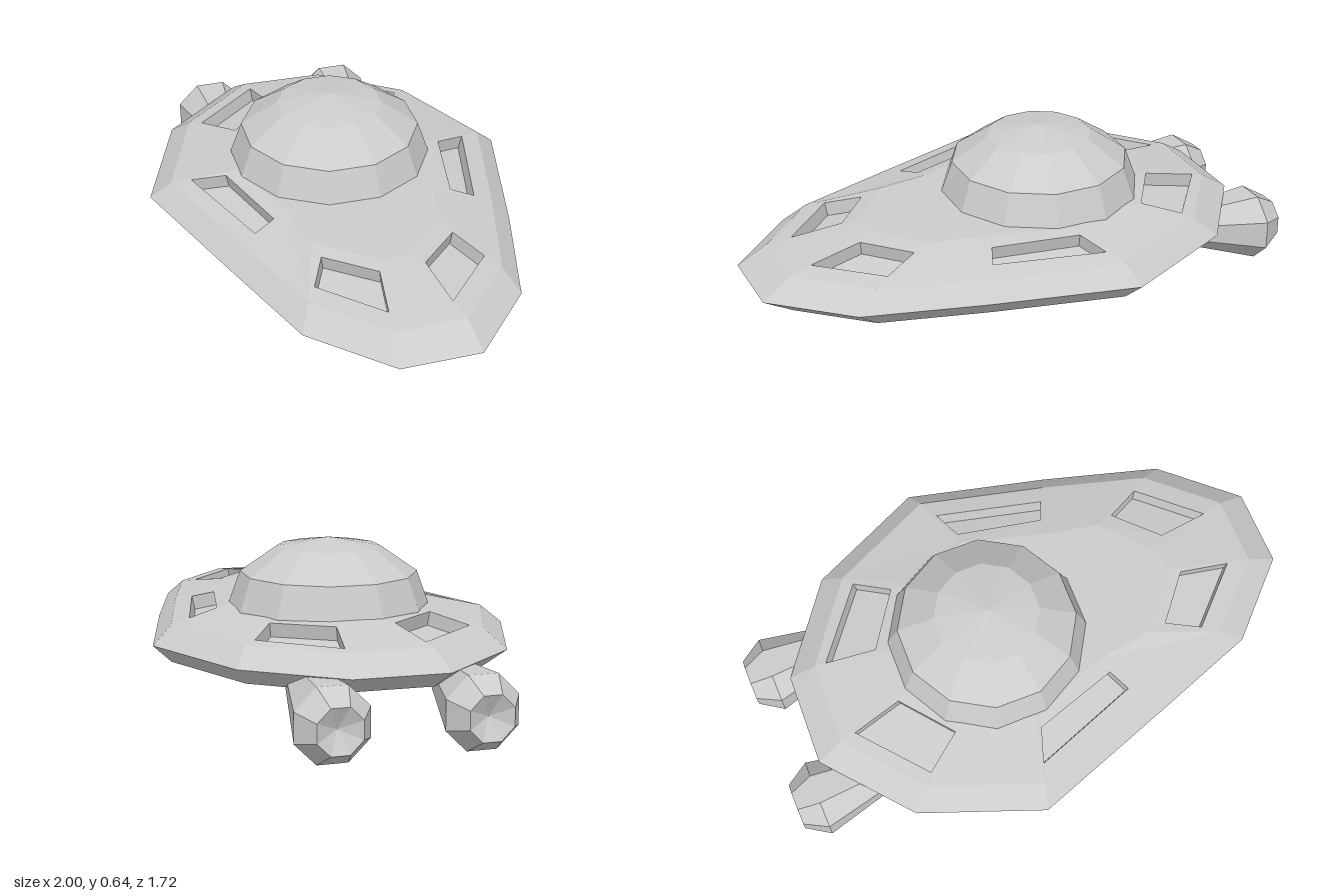
import * as THREE from 'three';

const material = () => new THREE.MeshStandardMaterial({ color: 0xcccccc, flatShading: true });

// Hull rim and flat-deck corners as [x, z], in matching order
const RIM = [
  [-0.535, -0.63], [-0.12, -0.73], [0.36, -0.6], [0.69, -0.15], [0.95, 0.235], [1, 0.595],
  [0.81, 0.825], [0.44, 0.86], [0.03, 0.71], [-0.53, 0.5], [-0.775, 0.065], [-0.775, -0.36],
];
const DECK = [
  [-0.29, -0.33], [0, -0.38], [0.24, -0.29], [0.44, 0], [0.56, 0.15], [0.57, 0.41],
  [0.52, 0.48], [0.25, 0.53], [0.06, 0.41], [-0.26, 0.31], [-0.39, 0.07], [-0.39, -0.17],
];
// Recess corners on every other sloped facet: outer, inner, inner, outer
const RECESSES = [
  [[-0.435, -0.52], [-0.305, -0.37], [-0.06, -0.44], [-0.10, -0.59]],
  [[0.31, -0.44], [0.27, -0.32], [0.48, -0.06], [0.56, -0.10]],
  [[0.78, 0.21], [0.63, 0.18], [0.645, 0.395], [0.82, 0.5]],
  [[0.67, 0.675], [0.54, 0.53], [0.32, 0.57], [0.38, 0.70]],
  [[0.02, 0.56], [0.04, 0.47], [-0.28, 0.34], [-0.395, 0.41]],
  [[-0.625, 0.05], [-0.45, 0.06], [-0.445, -0.19], [-0.625, -0.28]],
];

const ring = (pts, y) => pts.map(([x, z]) => new THREE.Vector3(x, y, z));
const shoulder = RIM.map(([x, z]) => [0.1 + (x - 0.1) * 0.89, 0.07 + (z - 0.07) * 0.89]);

function createHull() {
  const pos = [];
  const tri = (...v) => v.forEach((p) => pos.push(p.x, p.y, p.z));
  const quad = (a, b, c, d) => { tri(a, b, c); tri(a, c, d); };
  // Strip of quads joining two closed loops
  const bridge = (from, to) => from.forEach((p, i) => {
    const j = (i + 1) % from.length;
    quad(p, to[i], to[j], from[j]);
  });

  // Sloped facet with a sunken quad, pushed in along the facet normal
  function recessedFacet(corners, recess) {
    const [a, b, , d] = corners;
    const normal = b.clone().sub(a).cross(d.clone().sub(a)).normalize();
    const top = recess.map(([x, z]) => new THREE.Vector3(
      x, a.y - (normal.x * (x - a.x) + normal.z * (z - a.z)) / normal.y, z));
    const floor = top.map((p) => p.clone().addScaledVector(normal, -0.055));
    // Both loops run the same way, so the frame and walls face up and inward
    for (const [outer, inner] of [[corners, top], [top, floor]]) {
      outer.forEach((p, i) => {
        const j = (i + 1) % 4;
        quad(p, outer[j], inner[j], inner[i]);
      });
    }
    quad(...floor);
  }

  const lowDeck = ring(DECK, 0.155);
  const lowShoulder = ring(shoulder, 0.2);
  const rim = ring(RIM, 0.272);
  const highShoulder = ring(shoulder, 0.34);
  const highDeck = ring(DECK, 0.39);
  bridge(lowDeck, lowShoulder);
  bridge(lowShoulder, rim);
  bridge(rim, highShoulder);

  // Sloped top facets, alternately recessed and plain
  RIM.forEach((_, i) => {
    const j = (i + 1) % RIM.length;
    const corners = [highShoulder[i], highDeck[i], highDeck[j], highShoulder[j]];
    if (i % 2 === 0) recessedFacet(corners, RECESSES[i / 2]);
    else quad(...corners);
  });

  // Flat deck and flat underside
  const middle = (y) => new THREE.Vector3(0.08, y, 0.05);
  RIM.forEach((_, i) => {
    const j = (i + 1) % RIM.length;
    tri(highDeck[i], middle(0.39), highDeck[j]);
    tri(lowDeck[j], middle(0.155), lowDeck[i]);
  });

  const geometry = new THREE.BufferGeometry();
  geometry.setAttribute('position', new THREE.Float32BufferAttribute(pos, 3));
  geometry.computeVertexNormals();
  const hull = new THREE.Mesh(geometry, material());
  hull.name = 'hull';
  return hull;
}

function createDome() {
  const profile = [[0.39, 0.36], [0.385, 0.39], [0.342, 0.51], [0.2, 0.608], [0, 0.642]]
    .map(([r, y]) => new THREE.Vector2(r, y));
  const dome = new THREE.Mesh(new THREE.LatheGeometry(profile, 12, 0.07), material());
  dome.name = 'dome';
  dome.position.set(-0.045, 0, -0.02);
  return dome;
}

function createEngine(name, x, z) {
  // Eight-sided pod with a hollow nozzle; its narrow end lifts into the hull
  const profile = [[0, -0.46], [0.045, -0.45], [0.148, 0], [0.09, 0.09], [0, 0.05]]
    .map(([r, s]) => new THREE.Vector2(r, s));
  const geometry = new THREE.LatheGeometry(profile, 8, Math.PI / 8).rotateX(Math.PI / 2);
  const p = geometry.attributes.position;
  for (let i = 0; i < p.count; i++) p.setY(i, p.getY(i) + 0.17 * Math.max(0, -p.getZ(i)));
  geometry.computeVertexNormals();
  const engine = new THREE.Mesh(geometry, material());
  engine.name = name;
  engine.position.set(x, 0.137, z);
  engine.rotation.y = Math.atan2(-0.77, -0.64);
  return engine;
}

export function createModel() {
  const model = new THREE.Group();
  model.name = 'saucer';
  model.add(
    createHull(),
    createDome(),
    createEngine('rightEngine', -0.875, -0.32),
    createEngine('leftEngine', -0.525, -0.74),
  );
  return model;
}
